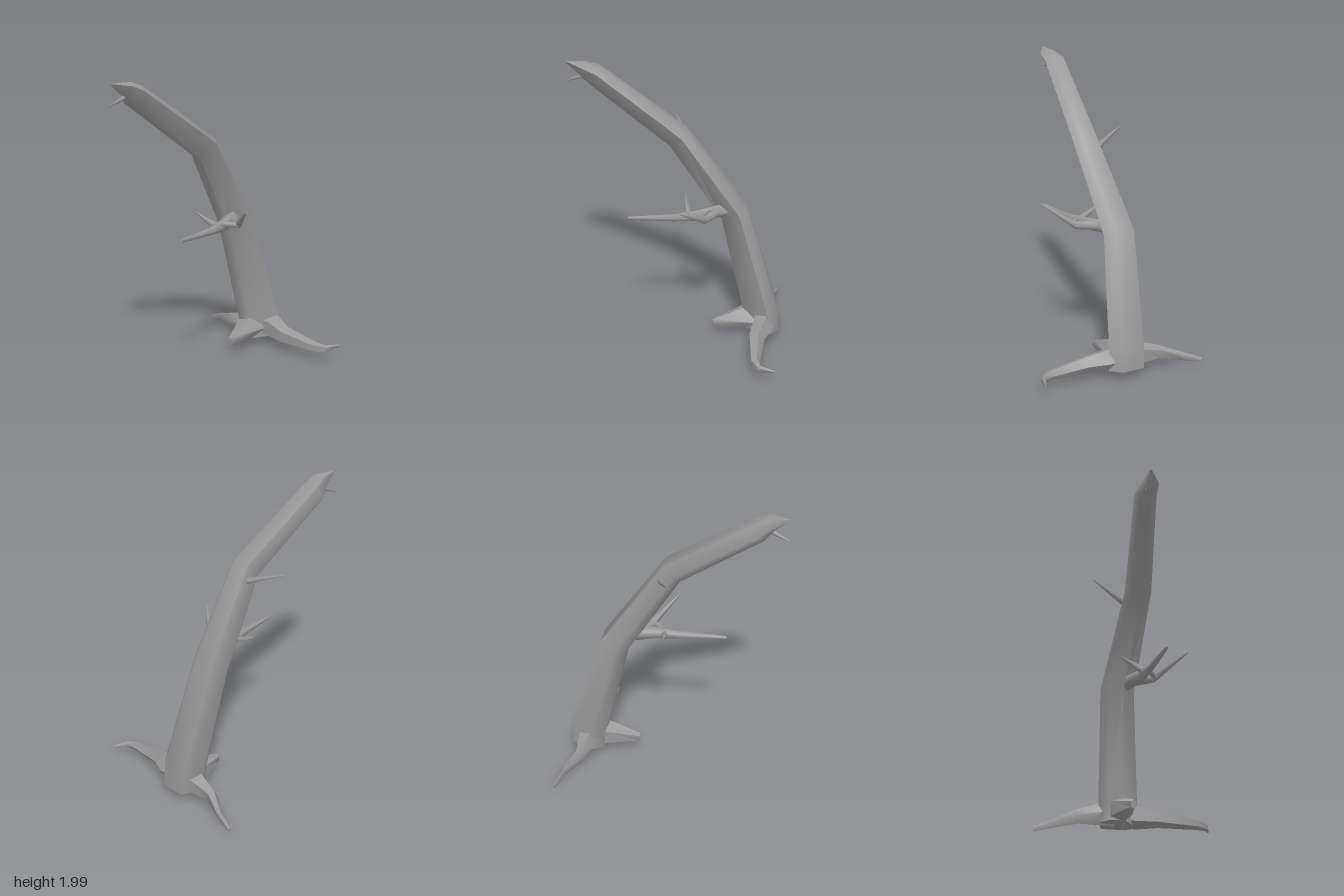
import * as THREE from 'three';
import { toCreasedNormals } from 'three/addons/utils/BufferGeometryUtils.js';

const material = new THREE.MeshStandardMaterial({ color: 0x999999 });

// Regular cross-section of radius 1
const polygon = n => Array.from({ length: n }, (_, j) => {
  const a = (j + 0.5) / n * Math.PI * 2;
  return [Math.cos(a), Math.sin(a)];
});

// Ridged cross-section of the trunk, sharpest along its right side
const trunkProfile = [[0.128, 0.05], [0.055, 0.11], [-0.1, 0.08], [-0.126, -0.073], [-0.067, -0.148], [0.035, -0.142]];

// Lofts a profile through sections [x, y, z, scaleAcross, scaleDeep] and caps the ends.
function limb(name, sections, profile, crease, across) {
  const pts = sections.map(s => new THREE.Vector3(s[0], s[1], s[2]));
  const last = pts.length - 1, sides = profile.length;
  const step = i => pts[i + 1].clone().sub(pts[i]).normalize();
  const pos = [], index = [];
  pts.forEach((p, i) => {
    const t = new THREE.Vector3();
    if (i > 0) t.add(step(i - 1));
    if (i < last) t.add(step(i));
    t.normalize();
    const u = across ? across.clone() : t.clone().cross(new THREE.Vector3(0, 1, 0));
    u.addScaledVector(t, -u.dot(t)).normalize();
    const v = t.clone().cross(u);
    const [, , , w, h = w] = sections[i];
    for (const [a, b] of profile) {
      pos.push(...p.clone().addScaledVector(u, a * w).addScaledVector(v, b * h).toArray());
    }
  });
  const startCap = pos.length / 3, endCap = startCap + 1;
  pos.push(...pts[0].toArray(), ...pts[last].toArray());
  for (let j = 0; j < sides; j++) {
    const k = (j + 1) % sides;
    for (let i = 0; i < last; i++) {
      const a = i * sides + j, b = i * sides + k;
      index.push(a, b, b + sides, a, b + sides, a + sides);
    }
    index.push(startCap, k, j, endCap, last * sides + j, last * sides + k);
  }
  const geo = new THREE.BufferGeometry();
  geo.setAttribute('position', new THREE.Float32BufferAttribute(pos, 3));
  geo.setIndex(index);
  const mesh = new THREE.Mesh(toCreasedNormals(geo, crease), material);
  mesh.name = name;
  return mesh;
}

export function createModel() {
  const tree = new THREE.Group();
  tree.name = 'deadTree';

  // Leaning trunk, bent twice and ending in a slanted point
  tree.add(limb('trunk', [
    [0.07, 0.06, -0.39, 1.06, 1],
    [0.062, 0.2, -0.385, 1.06, 0.97],
    [-0.08, 0.94, -0.238, 0.92, 0.78],
    [-0.214, 1.515, 0.122, 0.73, 0.65],
    [-0.55, 1.918, 0.57, 0.6, 0.55],
    [-0.575, 1.962, 0.645, 0.46, 0.36],
    [-0.65, 1.995, 0.735, 0.03],
  ], trunkProfile, 1.05, new THREE.Vector3(0.81, 0, 0.59)));

  // Roots spreading from the foot
  const roots = {
    backRoot: [
      [0.03, 0.12, -0.4, 0.07, 0.085], [-0.06, 0.115, -0.43, 0.07, 0.08],
      [-0.18, 0.095, -0.51, 0.037, 0.052], [-0.28, 0.06, -0.655, 0.018, 0.03],
      [-0.373, 0.022, -0.738, 0.01, 0.018]],
    sideRoot: [
      [0.1, 0.13, -0.36, 0.07, 0.085], [0.18, 0.13, -0.315, 0.078, 0.085],
      [0.275, 0.112, -0.213, 0.058, 0.062], [0.505, 0.09, -0.08, 0.034, 0.036],
      [0.585, 0.085, -0.077, 0.018, 0.025], [0.667, 0.09, -0.147, 0.005, 0.008]],
    frontRoot: [
      [0.05, 0.125, -0.37, 0.1, 0.09], [-0.01, 0.125, -0.265, 0.085, 0.085],
      [-0.082, 0.09, -0.06, 0.022, 0.032]],
  };
  for (const [name, path] of Object.entries(roots)) tree.add(limb(name, path, polygon(5), 1.1));

  // Broken branches and twigs
  const branches = {
    frontBranch: [[-0.08, 0.97, -0.2, 0.05], [-0.1, 0.96, 0.04, 0.042],
      [-0.16, 0.95, 0.2, 0.027], [-0.28, 0.955, 0.485, 0.012]],
    forkBranch: [[-0.09, 0.97, -0.1, 0.04], [-0.005, 0.965, 0.045, 0.028], [0.098, 1.11, 0.28, 0.004]],
    forkStub: [[0.0, 0.97, 0.065, 0.02], [-0.12, 0.975, 0.11, 0.018]],
    frontTwig: [[-0.12, 0.955, 0.1, 0.025], [-0.2, 0.985, 0.08, 0.02], [-0.3, 1.037, 0.04, 0.004]],
    sideTwig: [[-0.2, 1.435, 0.04, 0.028], [-0.29, 1.465, 0.03, 0.022], [-0.51, 1.543, 0.01, 0.004]],
    topTwig: [[-0.56, 1.93, 0.6, 0.022], [-0.61, 1.89, 0.66, 0.014], [-0.668, 1.855, 0.733, 0.003]],
  };
  for (const [name, path] of Object.entries(branches)) tree.add(limb(name, path, polygon(5), 1.3));

  return tree;
}
